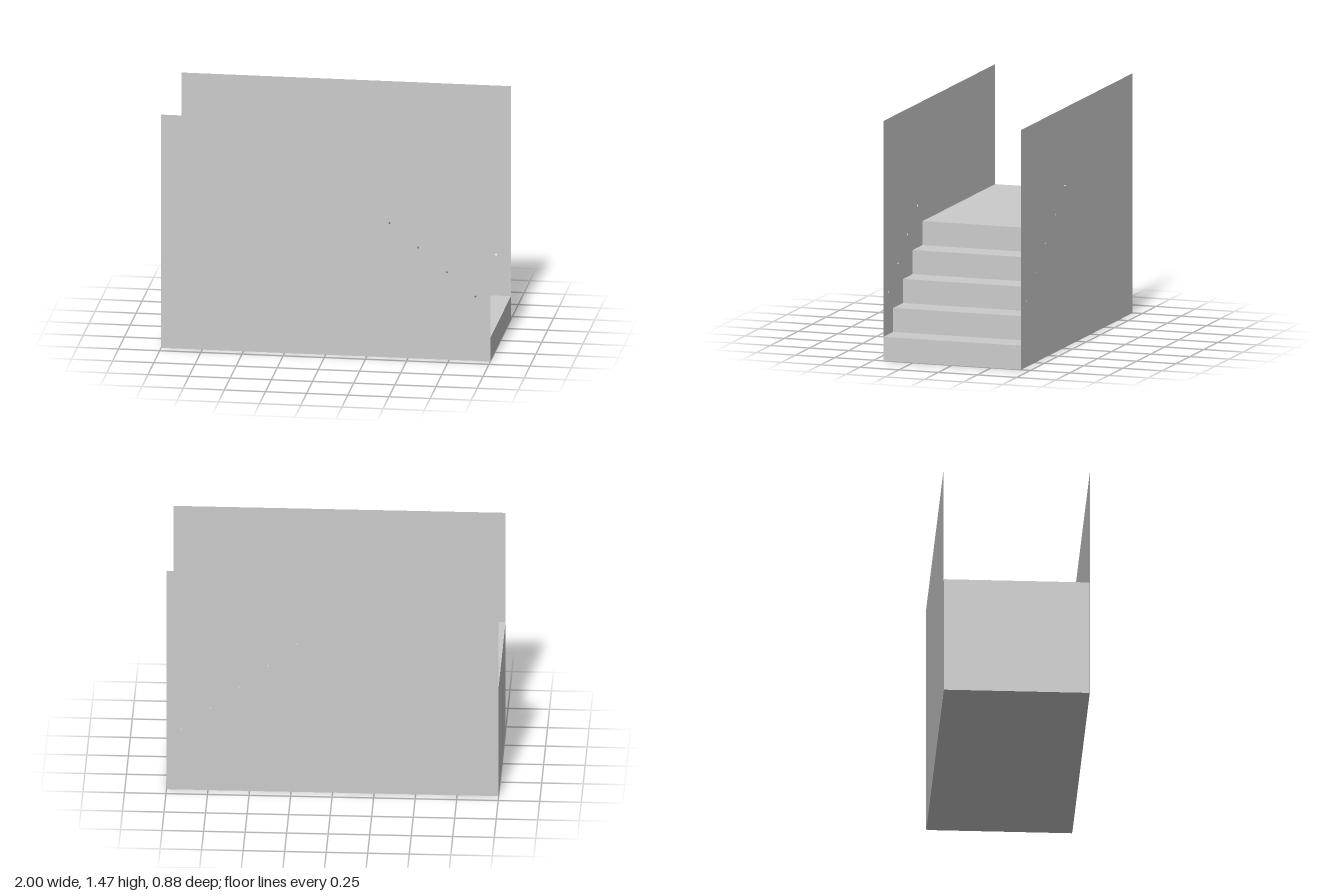
import * as THREE from 'three';

const HALF_DEPTH = 0.44;
const HEIGHT = 1.466;
const RISE = 0.1466;
const TREAD = 0.175;
const STEPS = 5;

export function createModel() {
  const model = new THREE.Group();
  const solid = new THREE.MeshStandardMaterial({ color: 0xcccccc, flatShading: true });
  const sheet = new THREE.MeshStandardMaterial({ color: 0xcccccc, flatShading: true, side: THREE.DoubleSide });

  // Stair profile climbing from +x to the landing at -x
  const profile = new THREE.Shape();
  profile.moveTo(-1, 0);
  profile.lineTo(1, 0);
  for (let i = 0; i < STEPS; i++) {
    const x = 1 - i * TREAD;
    profile.lineTo(x, (i + 1) * RISE);
    profile.lineTo(i === STEPS - 1 ? -1 : x - TREAD, (i + 1) * RISE);
  }
  profile.closePath();

  // Ends sit a hair inside the wall sheets
  const depth = 2 * HALF_DEPTH - 0.002;
  const stairs = new THREE.Mesh(
    new THREE.ExtrudeGeometry(profile, { depth, bevelEnabled: false }).translate(0, 0, -depth / 2),
    solid
  );
  stairs.name = 'stairsAndLanding';
  model.add(stairs);

  // Thin side wall with a rising row of small fixing holes
  function addWall(name, z, holeCount) {
    const shape = new THREE.Shape();
    shape.moveTo(-1, 0);
    shape.lineTo(1, 0);
    shape.lineTo(1, HEIGHT);
    shape.lineTo(-1, HEIGHT);
    shape.closePath();
    for (let i = 0; i < holeCount; i++) {
      const hole = new THREE.Path();
      hole.absarc(0.91 - i * 0.174, 0.404 + i * RISE, 0.006, 0, Math.PI * 2, true);
      shape.holes.push(hole);
    }
    const wall = new THREE.Mesh(new THREE.ShapeGeometry(shape, 6), sheet);
    wall.name = name;
    wall.position.z = z;
    model.add(wall);
  }
  addWall('frontWall', HALF_DEPTH, 4);
  addWall('backWall', -HALF_DEPTH, 5);

  return model;
}
